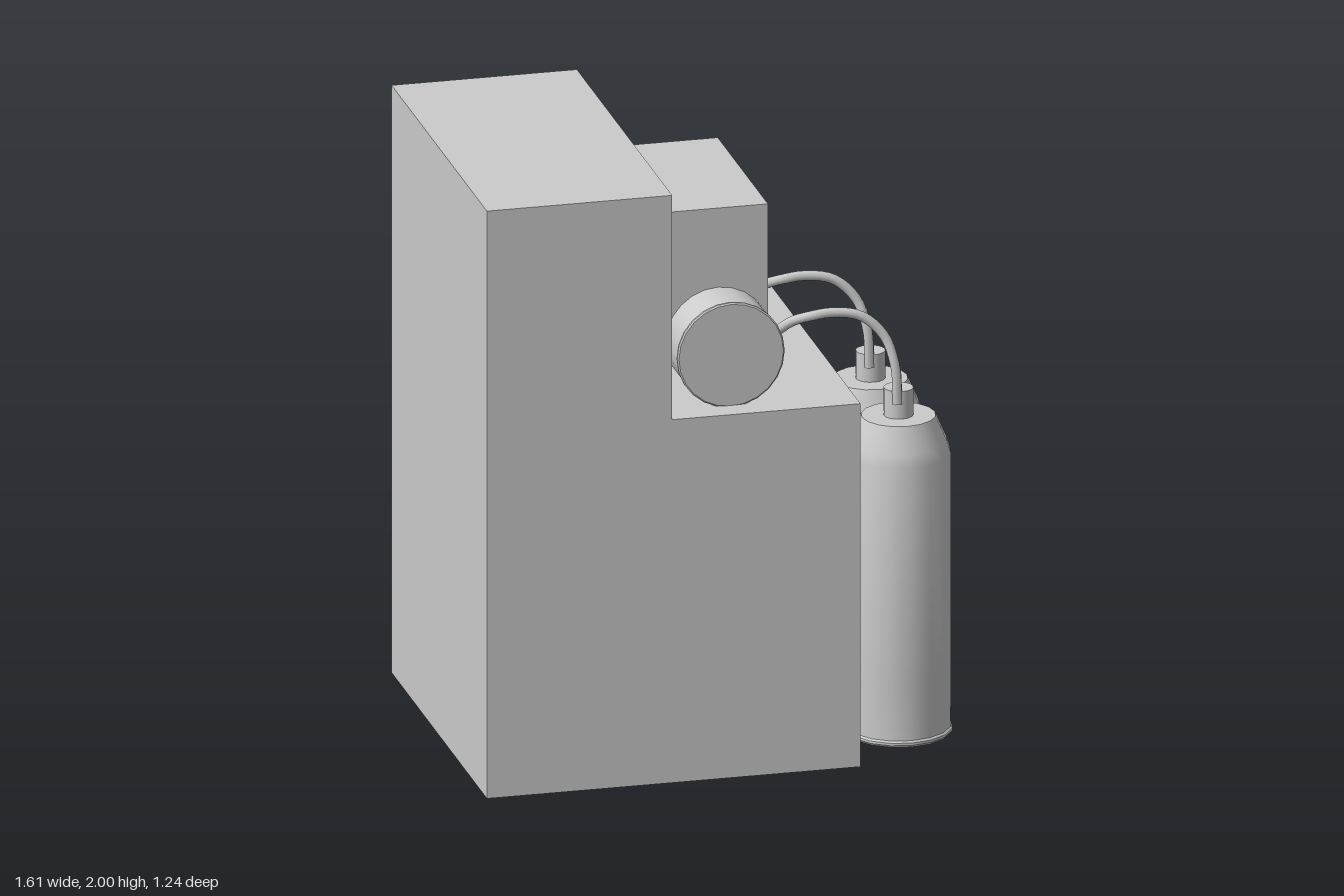
import * as THREE from 'three';
import { toCreasedNormals } from 'three/addons/utils/BufferGeometryUtils.js';

const material = new THREE.MeshStandardMaterial({ color: 0xcccccc });

function add(parent, name, geometry, x = 0, y = 0, z = 0) {
  const mesh = new THREE.Mesh(geometry, material);
  mesh.name = name;
  mesh.position.set(x, y, z);
  parent.add(mesh);
  return mesh;
}

// Turned part with crisp edges; profile is [radius, height] from bottom to top
function turned(profile, sides) {
  const points = profile.map(([r, h]) => new THREE.Vector2(r, h));
  return toCreasedNormals(new THREE.LatheGeometry(points, sides), 0.6);
}

export function createModel() {
  const model = new THREE.Group();
  model.name = 'gasMachine';

  // Stepped cabinet: L-shaped side profile
  const outline = [[-0.81, 0.01], [0.42, 0.01], [0.42, 1.24], [-0.2, 1.24], [-0.2, 2], [-0.81, 2]];
  const cabinetShape = new THREE.Shape(outline.map(([x, y]) => new THREE.Vector2(x, y)));
  add(model, 'cabinet', new THREE.ExtrudeGeometry(cabinetShape, { depth: 1.235, bevelEnabled: false }), 0, 0, -0.618);

  // Horizontal drum with a small rim at its front end
  const drum = add(model, 'drum', turned([
    [0, -0.41], [0.172, -0.41], [0.172, 0.515], [0.177, 0.52], [0.177, 0.528], [0.172, 0.532], [0, 0.532],
  ], 24), 0.016, 1.41, 0);
  drum.rotation.x = Math.PI / 2;

  // Control box with its panel on the +x face
  add(model, 'controlBox', new THREE.BoxGeometry(0.38, 0.42, 0.65), -0.01, 1.64, 0.037);
  const panel = new THREE.Group();
  panel.name = 'controlPanel';
  panel.position.x = 0.18;
  model.add(panel);

  for (const y of [1.787, 1.534]) {
    add(panel, 'display', new THREE.BoxGeometry(0.02, 0.08, 0.28), 0, y, 0.178);
  }
  for (const z of [0.275, 0.198, 0.119]) {
    const button = add(panel, 'button', new THREE.SphereGeometry(0.034, 16, 12), 0, 1.656, z);
    button.scale.x = 0.4;
  }
  // Dished dial
  const dial = add(panel, 'dial', turned([
    [0.06, 0], [0.06, 0.02], [0.048, 0.03], [0.035, 0.03], [0.022, 0.018], [0, 0.016],
  ], 24), 0, 1.586, -0.1);
  dial.rotation.z = -Math.PI / 2;

  // Two gas bottles, each with a valve and a hose to the drum
  const hosePoints = [
    [0.17, 1.335, 0.13], [0.2, 1.33, 0.15], [0.24, 1.348, 0.19], [0.29, 1.4, 0.24], [0.34, 1.422, 0.268],
    [0.42, 1.43, 0.272], [0.51, 1.412, 0.28], [0.58, 1.345, 0.295], [0.61, 1.25, 0.318], [0.617, 1.12, 0.32],
  ];
  for (const z of [0.282, -0.08]) {
    const bottle = new THREE.Group();
    bottle.name = 'bottleSet';
    bottle.position.z = z;
    model.add(bottle);

    add(bottle, 'gasBottle', turned([
      [0, 0], [0.168, 0], [0.174, 0.008], [0.174, 0.016], [0.168, 0.022],
      [0.17, 0.2], [0.17, 0.945], [0.158, 0.985], [0.12, 1.07], [0, 1.07],
    ], 16), 0.63, 0, 0);
    add(bottle, 'valve', new THREE.CylinderGeometry(0.048, 0.048, 0.1, 16), 0.63, 1.113, 0);

    const path = new THREE.CatmullRomCurve3(hosePoints.map(([x, y, hz]) => new THREE.Vector3(x, y, hz - 0.282)));
    add(bottle, 'hose', new THREE.TubeGeometry(path, 32, 0.016, 8));
    add(bottle, 'hoseFitting', new THREE.SphereGeometry(0.018, 10, 8), 0.192, 1.332, -0.137);
  }

  return model;
}
